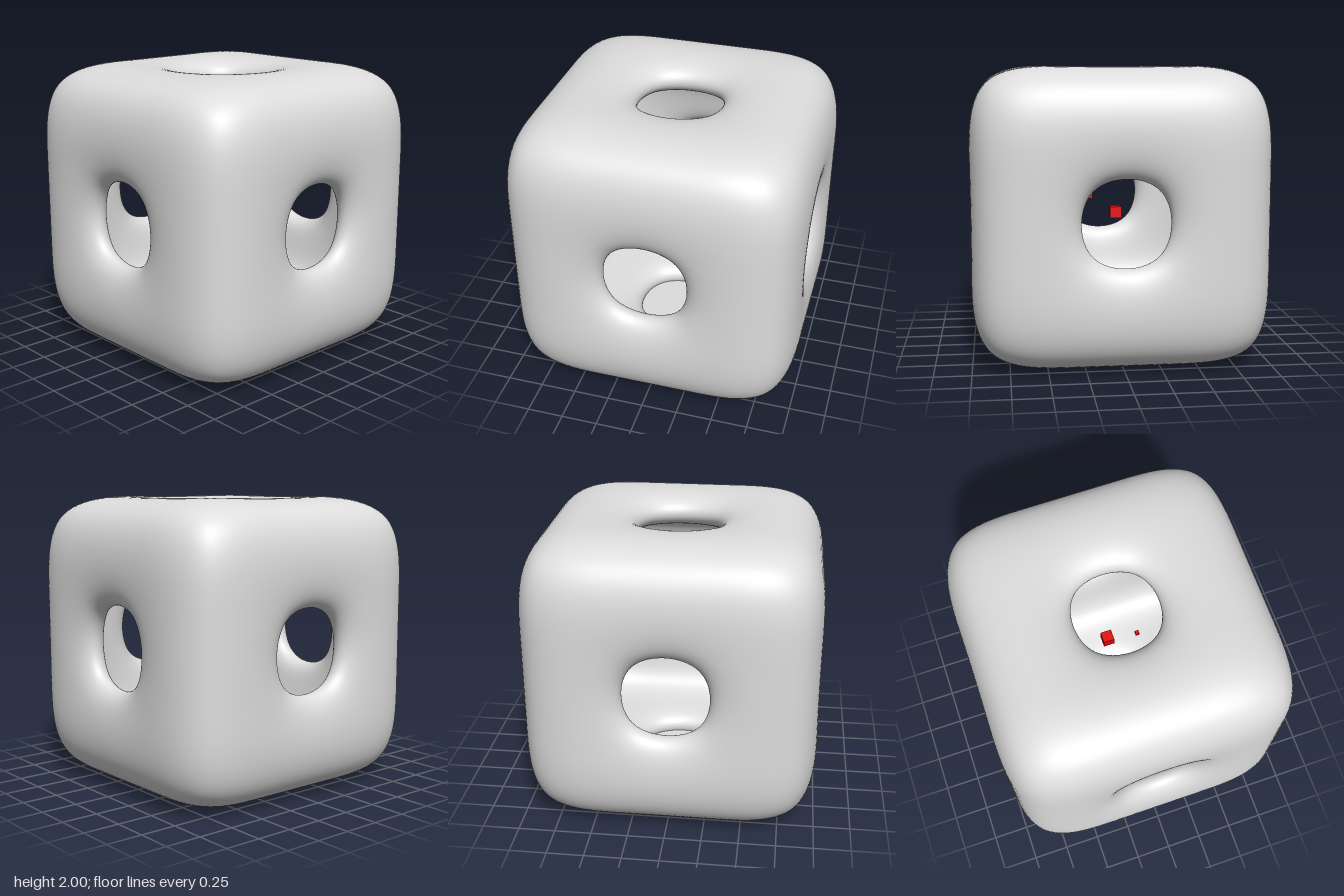
import * as THREE from 'three';

const HOLE = 0.287; // half width of the holes in the control cage
const INNER = 0.74; // half width of the hollow inside
const LAYERS = [[-1, -HOLE, HOLE, 1], [-INNER, -HOLE, HOLE, INNER]];

// Control cage: outer and inner cube faces of 3x3 quads, each with an open centre
function shellCage() {
  const points = [], quads = [], ids = new Map();
  const id = (layer, c) => {
    const key = layer + ':' + c.join();
    if (!ids.has(key)) {
      ids.set(key, points.length);
      points.push(new THREE.Vector3(...c.map((i) => LAYERS[layer][i])));
    }
    return ids.get(key);
  };
  const square = [[0, 0], [1, 0], [1, 1], [0, 1]];
  for (let a = 0; a < 3; a++) for (const end of [0, 3]) {
    const corner = (layer, i, j) => {
      const c = [end, end, end];
      c[(a + 1) % 3] = i;
      c[(a + 2) % 3] = j;
      return id(layer, c);
    };
    const addQuad = (quad, flip) => quads.push(flip ? quad.reverse() : quad);
    for (let i = 0; i < 3; i++) for (let j = 0; j < 3; j++) {
      if (i === 1 && j === 1) continue;
      for (const layer of [0, 1]) {
        addQuad(square.map(([di, dj]) => corner(layer, i + di, j + dj)), (end === 0) !== (layer === 1));
      }
    }
    // Walls joining both layers around the hole
    square.forEach(([i, j], k) => {
      const [m, n] = square[(k + 1) % 4];
      addQuad([corner(0, 1 + i, 1 + j), corner(0, 1 + m, 1 + n),
        corner(1, 1 + m, 1 + n), corner(1, 1 + i, 1 + j)], end === 0);
    });
  }
  return { points, quads };
}

// One step of Catmull-Clark smoothing on a closed quad mesh
function smooth({ points, quads }) {
  const count = points.length;
  const out = points.map(() => new THREE.Vector3());
  const faceSum = points.map(() => new THREE.Vector3());
  const midSum = points.map(() => new THREE.Vector3());
  const valence = new Array(count).fill(0);
  const edges = new Map();
  const key = (a, b) => Math.min(a, b) * count + Math.max(a, b);

  const faceIds = quads.map((q) => {
    const centre = new THREE.Vector3();
    q.forEach((i) => centre.addScaledVector(points[i], 0.25));
    q.forEach((i, k) => {
      faceSum[i].add(centre);
      valence[i]++;
      const j = q[(k + 1) % 4], e = key(i, j);
      if (!edges.has(e)) edges.set(e, { i, j, faces: new THREE.Vector3() });
      edges.get(e).faces.add(centre);
    });
    return out.push(centre) - 1;
  });
  for (const e of edges.values()) {
    const mid = points[e.i].clone().add(points[e.j]).multiplyScalar(0.5);
    midSum[e.i].add(mid);
    midSum[e.j].add(mid);
    e.id = out.push(mid.multiplyScalar(0.5).addScaledVector(e.faces, 0.25)) - 1;
  }
  points.forEach((p, i) => {
    const n = valence[i];
    out[i].addScaledVector(faceSum[i], 1 / (n * n))
      .addScaledVector(midSum[i], 2 / (n * n))
      .addScaledVector(p, (n - 3) / n);
  });
  const fine = [];
  quads.forEach((q, f) => q.forEach((i, k) => fine.push([
    i, edges.get(key(i, q[(k + 1) % 4])).id, faceIds[f], edges.get(key(q[(k + 3) % 4], i)).id,
  ])));
  return { points: out, quads: fine };
}

function shellGeometry() {
  let mesh = shellCage();
  for (let k = 0; k < 4; k++) mesh = smooth(mesh);
  const geometry = new THREE.BufferGeometry().setFromPoints(mesh.points);
  geometry.setIndex(mesh.quads.flatMap(([a, b, c, d]) => [a, b, c, a, c, d]));
  geometry.computeBoundingBox();
  const s = 1 / geometry.boundingBox.max.x;
  geometry.scale(s, s, s).translate(0, 1, 0);
  geometry.computeVertexNormals();
  return geometry;
}

export function createModel() {
  const model = new THREE.Group();
  const grey = new THREE.MeshStandardMaterial({ color: 0xdddddd });
  grey.name = 'grey';
  const red = new THREE.MeshStandardMaterial({ color: 0xe80000 });
  red.name = 'red';
  const add = (name, geometry, material, x = 0, y = 0, z = 0) => {
    const mesh = new THREE.Mesh(geometry, material);
    mesh.name = name;
    mesh.position.set(x, y, z);
    model.add(mesh);
  };

  // Hollow rounded cube with a hole in each face
  add('hollowCube', shellGeometry(), grey);

  // Thin floor closing the lower hole
  add('holeFloor', new THREE.CylinderGeometry(0.34, 0.34, 0.006, 48), grey, 0, 0.1, 0);

  // Small cubes floating inside: size, x, y, z
  [
    [0.08, -0.006, 0.982, -0.183],
    [0.042, 0.127, 1.03, 0.34],
    [0.026, 0.34, 1.002, 0.037],
    [0.026, 0.157, 1.35, -0.017],
  ].forEach(([s, x, y, z], i) => add(`floatingCube${i + 1}`, new THREE.BoxGeometry(s, s, s), red, x, y, z));

  return model;
}
